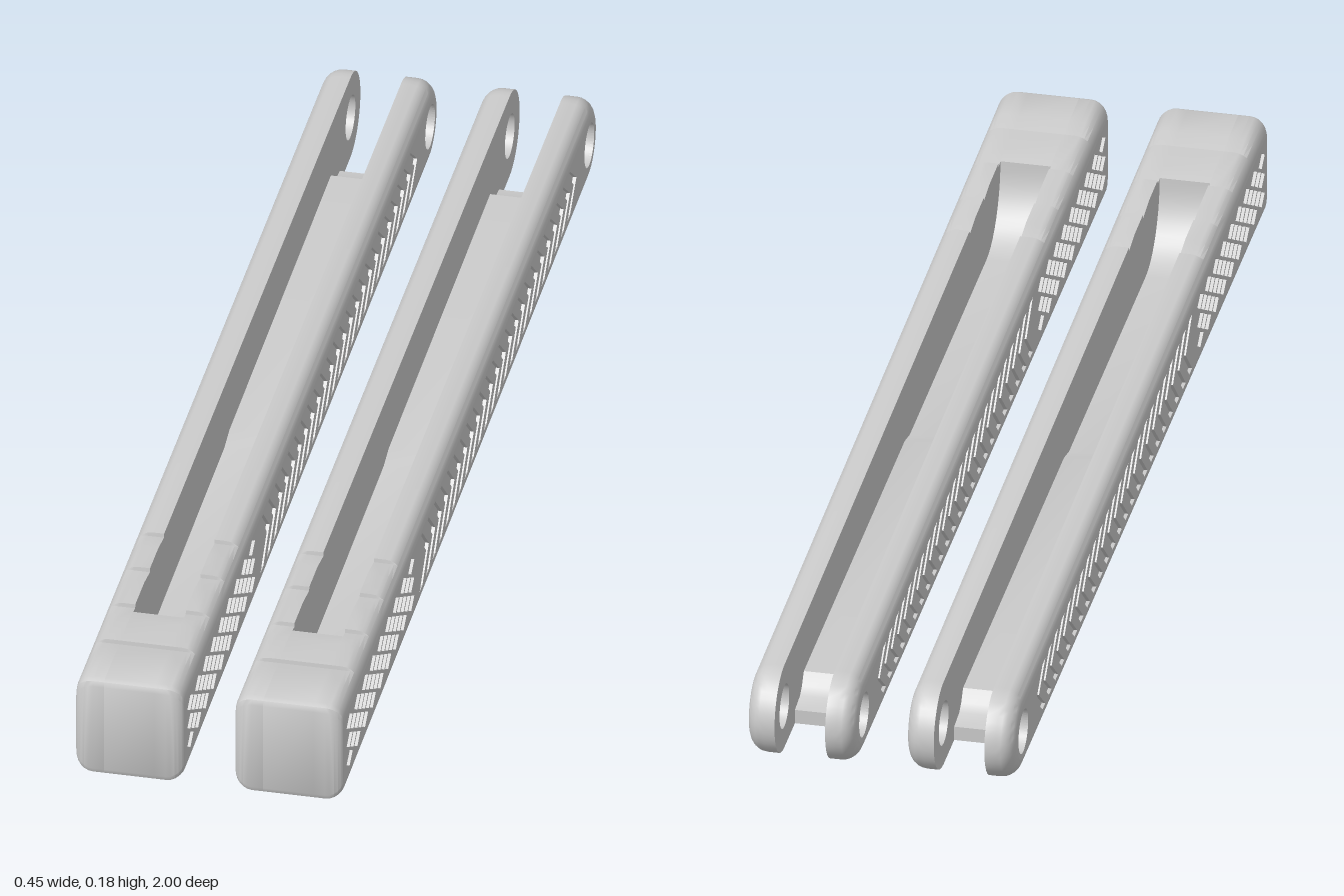
import * as THREE from 'three';
import { toCreasedNormals } from 'three/addons/utils/BufferGeometryUtils.js';

// Parts are drawn in side profile: X = -z (toward the back), Y = up, depth = +x.
const SLOT = 0.0425, HALF = 0.0915, ROUND = 0.03, POCKET = 0.006;
const END = { x: 0.9225, y: 0.0775, r: 0.0775 };
const HOLE_R = 0.038;
const NOTCHES = [0.87, 0.755, 0.64, 0.53], NOTCH_LEN = 0.045, NOTCH_DEPTH = 0.007;

const mat = new THREE.MeshStandardMaterial({ color: 0xcccccc });
const thinMat = new THREE.MeshStandardMaterial({ color: 0xcccccc, side: THREE.DoubleSide });

const topY = (X) => 0.155 + (0.029 * (END.x - X)) / 1.9225;

function notch(X) {
  for (const z of NOTCHES) {
    const t = (-X - z) / NOTCH_LEN;
    if (t >= 0 && t <= 1) return NOTCH_DEPTH * (1 - t);
  }
  return 0;
}

// stations along the length, front to back, covering each finger notch
const stations = NOTCHES.flatMap((z) => [-z - NOTCH_LEN, -z, -z + 0.001]);

// lower and upper edges of the side outline, shrunk by d
function lowerEdge(d) {
  const f = -1 + 0.4 * d, r = 0.012;
  return [
    [f, d + r], [f + 0.3 * r, d + 0.3 * r], [f + r, d],
    ...stations.map((X) => [X, Math.max(d, notch(X))]),
  ];
}
function upperEdge(d) {
  const f = -1 + 0.4 * d, r = 0.012, t = topY(-1) - d;
  return [
    ...[...stations].reverse().map((X) => [X, topY(X) - Math.max(d, notch(X))]),
    [f + r, t], [f + 0.3 * r, t - 0.3 * r], [f, t - r],
  ];
}
function outline(d) {
  const pts = lowerEdge(d);
  for (let i = 0; i <= 20; i++) {
    const a = -Math.PI / 2 + (Math.PI * i) / 20;
    pts.push([END.x + (END.r - d) * Math.cos(a), END.y + (END.r - d) * Math.sin(a)]);
  }
  return [...pts, ...upperEdge(d)];
}

const toVec = (pts) => pts.map(([x, y]) => new THREE.Vector2(x, y));

function cheekShape(d) {
  const s = new THREE.Shape(toVec(outline(d)));
  s.holes.push(new THREE.Path().absarc(END.x, END.y, HOLE_R, 0, Math.PI * 2, true));
  return s;
}

// grip pockets: staggered diamonds in front, chevrons behind
function gripPockets() {
  const out = [];
  for (let c = 0; c <= 16; c++) {
    const X = -0.945 + 0.03 * c, odd = c % 2;
    for (let j = 0; j < 3 - odd; j++) {
      const y = 0.055 + 0.036 * j + 0.018 * odd;
      out.push([[X - 0.024, y], [X, y - 0.015], [X + 0.024, y], [X, y + 0.015]]);
    }
  }
  const h = 0.05, w = 0.022;
  for (let i = 0; i < 24; i++) {
    const X = -0.35 + 0.05 * i, lo = 0.036, hi = topY(X) - 0.036, mid = (lo + hi) / 2;
    out.push([[X - h, lo], [X - h + w, lo], [X + w, mid], [X - h + w, hi], [X - h, hi], [X, mid]]);
  }
  return out.map((p) => new THREE.Path(toVec(p)));
}

// edge band of a cheek: straight wall, then a quarter-round to the outer face
function edgeBand() {
  const rings = [[SLOT, 0]];
  for (let i = 0; i <= 6; i++) {
    const a = (Math.PI / 2) * (i / 6);
    rings.push([HALF - ROUND + ROUND * Math.sin(a), ROUND * (1 - Math.cos(a))]);
  }
  const pos = [], idx = [];
  let n = 0;
  for (const [x, d] of rings) {
    const pts = outline(d);
    n = pts.length;
    for (const [X, Y] of pts) pos.push(X, Y, x);
  }
  for (let k = 0; k < rings.length - 1; k++) {
    for (let i = 0; i < n; i++) {
      const a = k * n + i, b = k * n + ((i + 1) % n);
      idx.push(a, b, b + n, a, b + n, a + n);
    }
  }
  const g = new THREE.BufferGeometry();
  g.setAttribute('position', new THREE.Float32BufferAttribute(pos, 3));
  g.setIndex(idx);
  return toCreasedNormals(g, 0.5);
}

function makeCheek() {
  const cheek = new THREE.Group();
  const add = (name, geo, m) => {
    const mesh = new THREE.Mesh(geo, m);
    mesh.name = name;
    cheek.add(mesh);
  };
  add('roundedEdge', edgeBand(), mat);
  add('innerFace', new THREE.ShapeGeometry(cheekShape(0), 24).translate(0, 0, SLOT), thinMat);
  add('pocketFloor', new THREE.ShapeGeometry(cheekShape(ROUND), 24).translate(0, 0, HALF - POCKET), mat);
  const skin = cheekShape(ROUND);
  skin.holes.push(...gripPockets());
  add('gripFace',
    new THREE.ExtrudeGeometry(skin, { depth: POCKET, bevelEnabled: false, curveSegments: 24 })
      .translate(0, 0, HALF - POCKET), mat);
  const len = HALF - POCKET - SLOT;
  add('pivotHole',
    new THREE.CylinderGeometry(HOLE_R, HOLE_R, len, 48, 1, true)
      .rotateX(Math.PI / 2).translate(END.x, END.y, SLOT + len / 2), thinMat);
  return cheek;
}

// solid core: front block, curved ramp, slot floor and stepped rear lip
function coreGeometry() {
  const pts = [
    ...lowerEdge(0),
    [0.84, 0], [0.84, 0.025], [0.8, 0.03], [0.785, 0.04], [0.77, 0.06],
    [-0.02, 0.06], [-0.06, 0.05],
  ];
  const top = topY(-0.77) - notch(-0.77), floor = 0.05;
  for (let i = 0; i <= 10; i++) {
    const a = (Math.PI / 2) * (i / 10);
    pts.push([-0.66 - 0.11 * Math.sin(a), floor + (top - floor) * (1 - Math.cos(a))]);
  }
  pts.push(...upperEdge(0).filter(([X]) => X < -0.775));
  const g = new THREE.ExtrudeGeometry(new THREE.Shape(toVec(pts)), { depth: SLOT * 2, bevelEnabled: false });
  return toCreasedNormals(g.translate(0, 0, -SLOT), 0.5);
}

function makeHandle() {
  const handle = new THREE.Group();
  const core = new THREE.Mesh(coreGeometry(), mat);
  core.name = 'slotCore';
  core.rotation.y = Math.PI / 2;
  handle.add(core);
  for (const side of [1, -1]) {
    const half = new THREE.Group();
    half.name = side > 0 ? 'leftCheek' : 'rightCheek';
    const cheek = makeCheek();
    cheek.rotation.y = Math.PI / 2;
    half.add(cheek);
    half.scale.x = side;
    handle.add(half);
  }
  return handle;
}

export function createModel() {
  const model = new THREE.Group();
  model.name = 'handlePair';
  for (const side of [1, -1]) {
    const handle = makeHandle();
    handle.name = side > 0 ? 'leftHandle' : 'rightHandle';
    handle.position.x = side * 0.134;
    model.add(handle);
  }
  return model;
}
